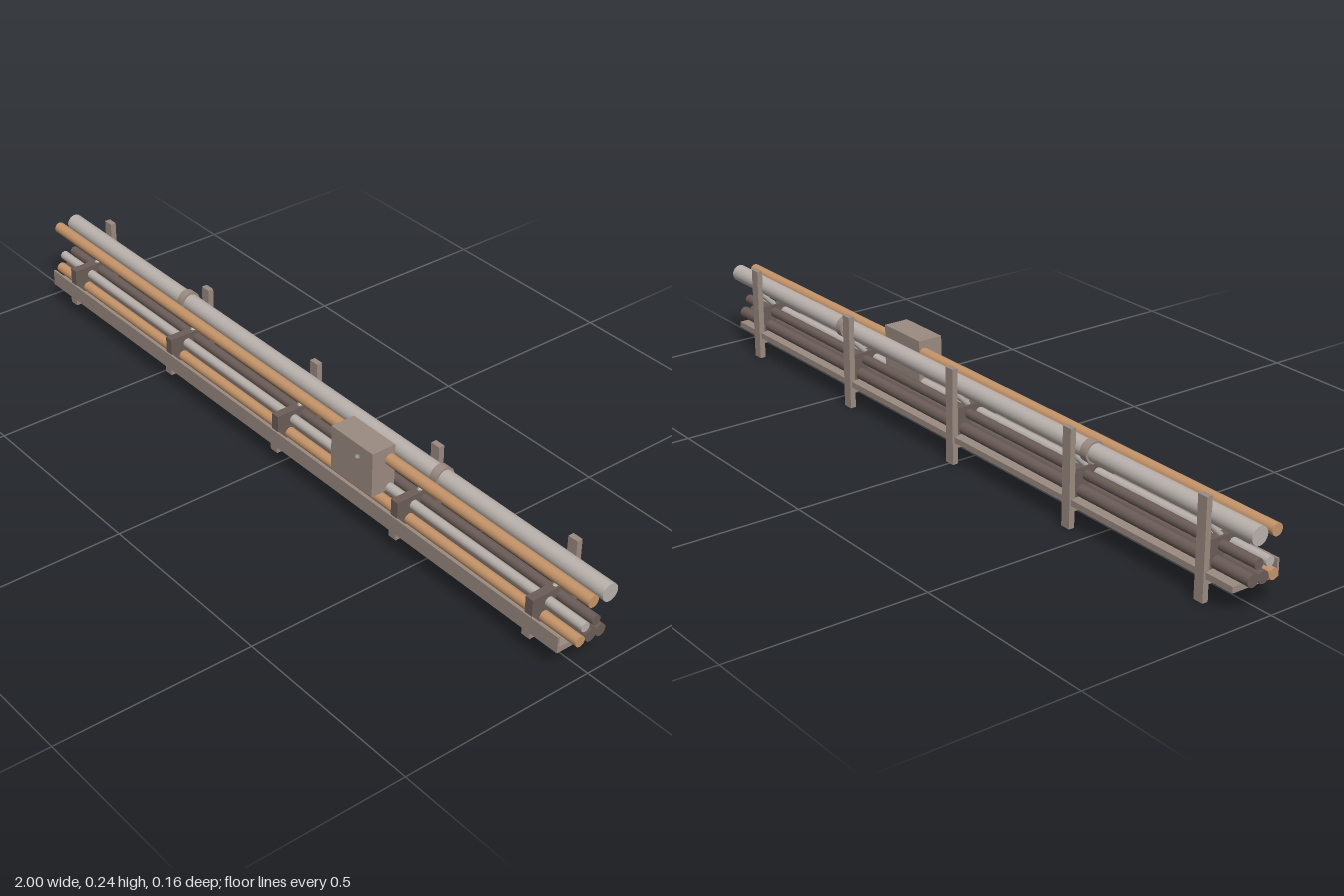
import * as THREE from 'three';

export function createModel() {
  const root = new THREE.Group();
  root.name = 'pipeRack';

  const mat = (name, color) => {
    const m = new THREE.MeshStandardMaterial({ color });
    m.name = name;
    return m;
  };
  const steel = mat('taupe steel', 0x9c8c82);
  const dark = mat('dark brown', 0x6c5d58);
  const copper = mat('copper', 0xc6956a);
  const pale = mat('pale grey', 0xbab2ad);
  const grey = mat('indicator grey', 0x8a8886);

  const add = (name, geometry, material, parent = root) => {
    const mesh = new THREE.Mesh(geometry, material);
    mesh.name = name;
    parent.add(mesh);
    return mesh;
  };

  // Box given by its limits on each axis
  const box = (name, m, [x0, x1], [y0, y1], [z0, z1], parent) => {
    const mesh = add(name, new THREE.BoxGeometry(x1 - x0, y1 - y0, z1 - z0), m, parent);
    mesh.position.set((x0 + x1) / 2, (y0 + y1) / 2, (z0 + z1) / 2);
  };

  // Pipe lying along x
  const pipe = (name, m, radius, length, x, y, z, sides = 20) => {
    const g = new THREE.CylinderGeometry(radius, radius, length, sides).rotateZ(Math.PI / 2);
    add(name, g, m).position.set(x, y, z);
  };

  // Upper pipes with couplings on the large one
  pipe('mainPipe', pale, 0.022, 2, 0, 0.193, -0.044, 24);
  pipe('copperPipe', copper, 0.0147, 2, 0, 0.193, 0.004);
  for (const x of [-0.48, 0.48]) pipe('pipeCoupling', steel, 0.027, 0.022, x, 0.193, -0.044, 24);

  // Lower bundle of conduits
  pipe('lowerCopperConduit', copper, 0.0135, 1.97, 0, 0.0835, 0.016, 16);
  pipe('lowerDarkConduit', dark, 0.015, 1.97, 0, 0.085, -0.013, 16);
  pipe('lowerDarkConduit', dark, 0.015, 1.97, 0, 0.085, -0.042, 16);
  pipe('upperPaleConduit', pale, 0.012, 1.97, 0, 0.116, 0.004, 12);
  pipe('upperDarkConduit', dark, 0.0125, 1.97, 0, 0.119, -0.027, 12);

  // Tray with a raised front lip
  box('trayFloor', steel, [-0.96, 0.96], [0.056, 0.071], [-0.073, 0.056]);
  box('trayLip', steel, [-0.96, 0.96], [0.056, 0.098], [0.05, 0.056]);

  // Five supports: post, arm, conduit clamp and diagonal brace
  for (let i = -2; i <= 2; i++) {
    const support = new THREE.Group();
    support.name = 'support';
    support.position.x = i * 0.433;
    root.add(support);
    box('post', steel, [-0.0135, 0.0135], [0, 0.242], [-0.078, -0.063], support);
    box('arm', steel, [-0.0125, 0.0125], [0.04, 0.069], [-0.064, 0.0555], support);
    box('conduitClamp', dark, [-0.011, 0.011], [0.072, 0.14], [-0.063, 0.052], support);

    const brace = add('brace', new THREE.CylinderGeometry(0.007, 0.007, 0.075, 10), pale, support);
    brace.position.set(0, 0.156, -0.042);
    brace.rotation.x = -Math.PI / 4;
  }

  // Junction box with a small indicator in front
  box('junctionBox', steel, [0.215, 0.36], [0.11, 0.227], [-0.01, 0.056]);
  add('indicator', new THREE.SphereGeometry(0.007, 16, 12), grey).position.set(0.325, 0.208, 0.0715);

  return root;
}
